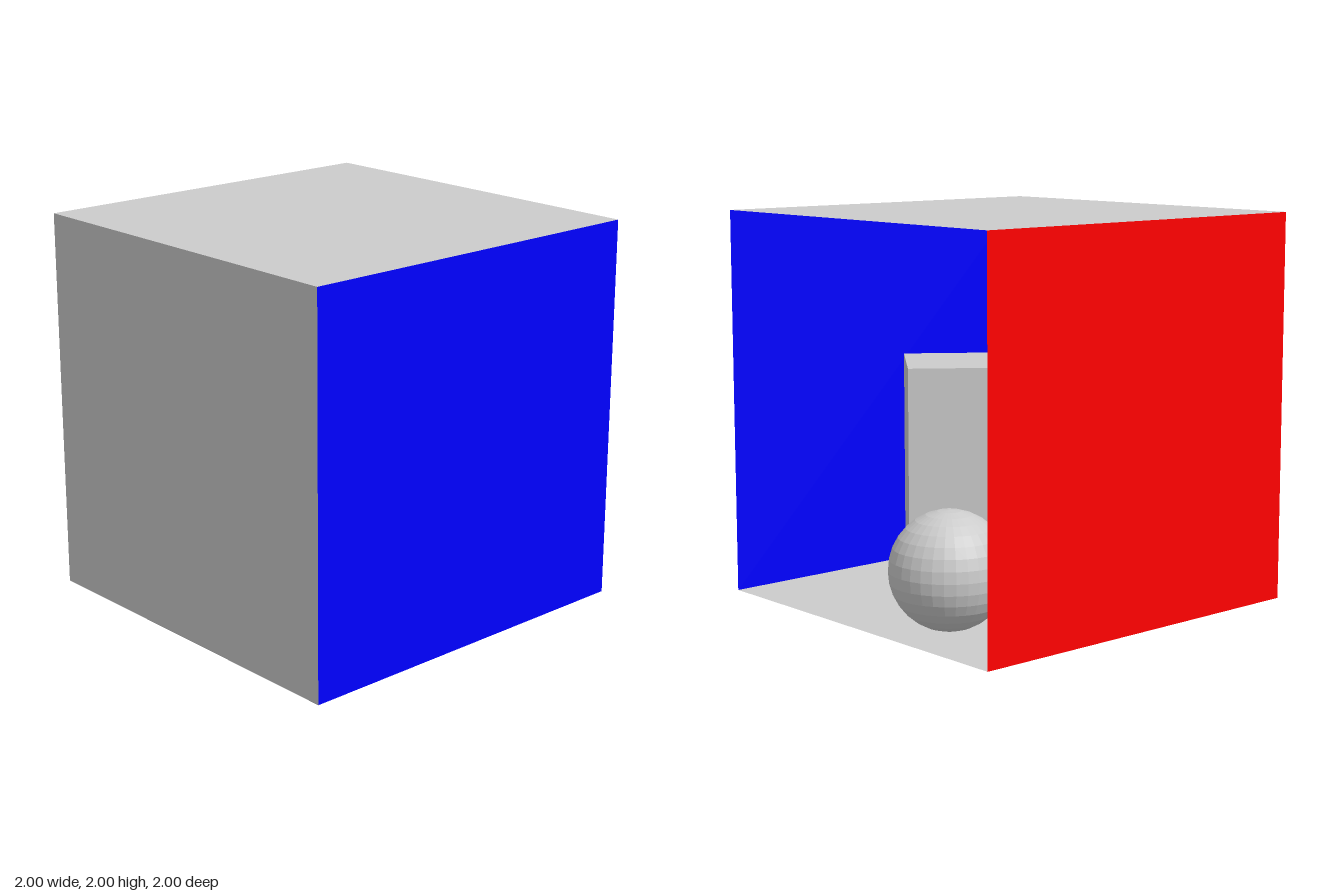
import * as THREE from 'three';

const paint = (color) =>
  new THREE.MeshStandardMaterial({ color, flatShading: true, side: THREE.DoubleSide });

export function createModel() {
  const room = new THREE.Group();
  room.name = 'openRoom';
  const grey = paint(0xcccccc);

  const add = (name, geometry, material, position, rotation = [0, 0, 0]) => {
    const mesh = new THREE.Mesh(geometry, material);
    mesh.name = name;
    mesh.position.set(...position);
    mesh.rotation.set(...rotation);
    room.add(mesh);
  };

  // Five thin panels; the +x side stays open
  const panel = new THREE.PlaneGeometry(2, 2);
  const quarter = Math.PI / 2;
  add('floor', panel, grey, [0, 0, 0], [-quarter, 0, 0]);
  add('ceiling', panel, grey, [0, 2, 0], [quarter, 0, 0]);
  add('innerWall', panel, grey, [-1, 1, 0], [0, quarter, 0]);
  add('blueWall', panel, paint(0x0000ff), [0, 1, 1], [0, Math.PI, 0]);
  add('redWall', panel, paint(0xff0000), [0, 1, -1]);

  // Tall block, turned on the floor
  add('tallBlock', new THREE.BoxGeometry(0.6, 1.2, 0.6), grey,
    [0, 0.6, 0.34], [0, -Math.atan2(0.6, 0.8), 0]);

  // Faceted ball near the open side
  add('ball', new THREE.SphereGeometry(0.3, 32, 16), grey, [0.67, 0.3, -0.34]);

  return room;
}
